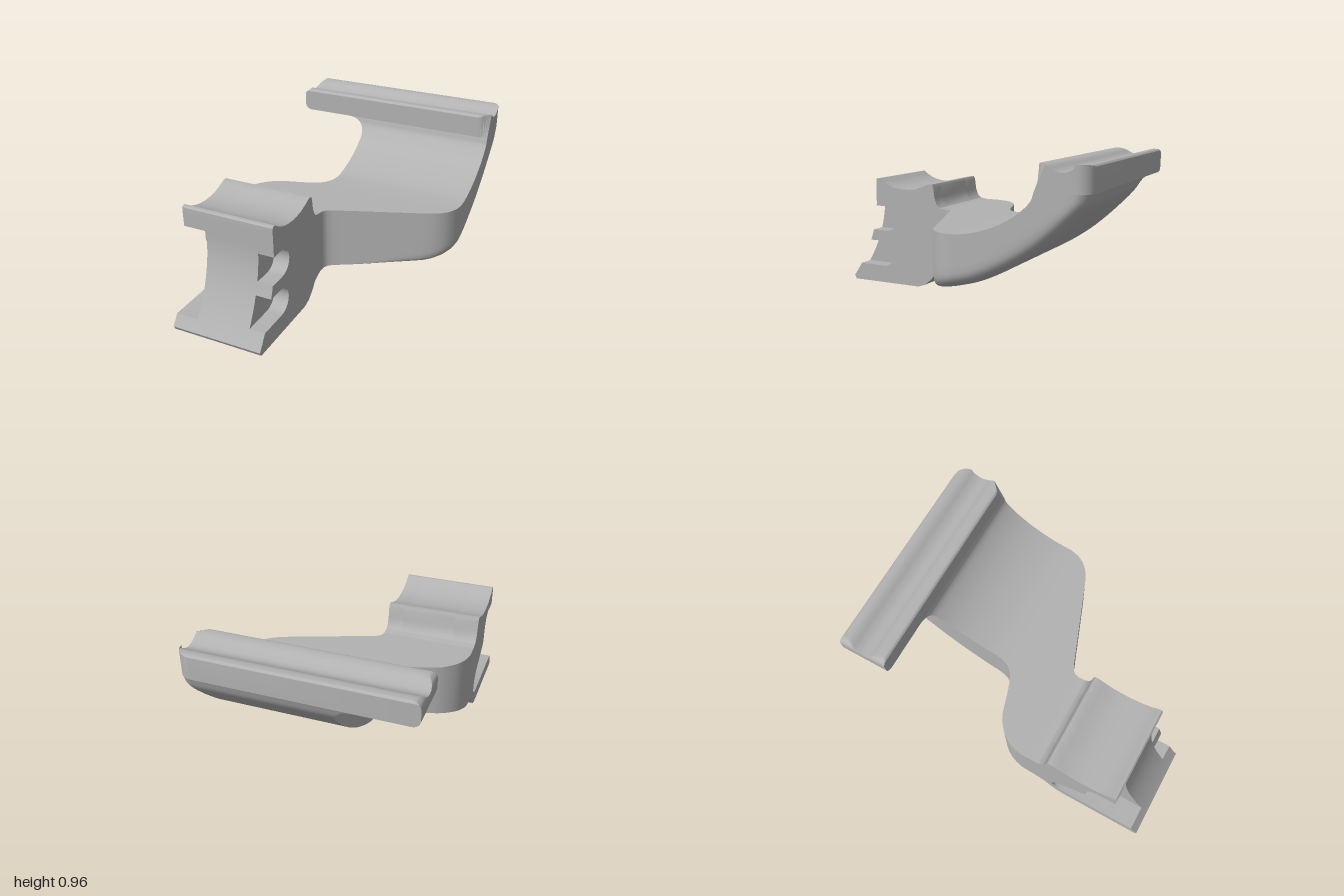
import * as THREE from 'three';
import { toCreasedNormals } from 'three/addons/utils/BufferGeometryUtils.js';

const gray = new THREE.MeshStandardMaterial({ color: 0xb2b2b2 });
gray.name = 'plain gray';

// Inset of a quarter-round edge of radius r at distance d from the face
const inset = (d, r) => (d < r ? r - Math.sqrt(Math.max(0, r * r - (r - d) ** 2)) : 0);

// Linear lookup in a list of [z, x] pairs with falling z
function lookup(list, z) {
  for (let i = 1; i < list.length; i++) {
    const [z0, x0] = list[i - 1], [z1, x1] = list[i];
    if (z >= z1) return x0 + (x1 - x0) * Math.min(1, Math.max(0, (z0 - z) / (z0 - z1)));
  }
  return list[list.length - 1][1];
}

const smooth = (list, n) =>
  new THREE.CatmullRomCurve3(list.map(([z, y]) => new THREE.Vector3(0, y, z)), false, 'centripetal').getPoints(n);

// Skin closed rings; point i of a ring faces point n-1-i, so the ends are capped in strips
function loft(rings) {
  const n = rings[0].length, last = (rings.length - 1) * n, index = [];
  for (let j = 0; j < rings.length - 1; j++) {
    for (let i = 0; i < n; i++) {
      const a = j * n + i, b = j * n + (i + 1) % n;
      index.push(a, a + n, b, b, a + n, b + n);
    }
  }
  for (let i = 0; i < n / 2 - 1; i++) {
    const a = i, b = i + 1, c = n - 2 - i, d = n - 1 - i;
    index.push(a, b, c, a, c, d);
    index.push(last + a, last + c, last + b, last + a, last + d, last + c);
  }
  const g = new THREE.BufferGeometry();
  g.setAttribute('position', new THREE.Float32BufferAttribute(rings.flat(2), 3));
  g.setIndex(index);
  return toCreasedNormals(g, 0.5);
}

// Front of the clamp curves forward towards its foot
const frontZ = (y) => (y < 0.58 ? 0.8 + 0.2 * ((0.58 - y) / 0.55) ** 2 : 0.8);

// Rest of the clamp outline as [z, y]: foot, back, neck and saddle
const clampBack = [
  [0.99, 0], [0.47, 0.003], [0.42, 0.02], [0.37, 0.06], [0.33, 0.11], [0.29, 0.128], [0.25, 0.14],
  [0.25, 0.55], [0.295, 0.557], [0.32, 0.58], [0.335, 0.62], [0.345, 0.69], [0.355, 0.71], [0.38, 0.71],
  [0.42, 0.693], [0.48, 0.672], [0.53, 0.665], [0.58, 0.663], [0.63, 0.667], [0.67, 0.675], [0.71, 0.689],
  [0.74, 0.705], [0.775, 0.73], [0.79, 0.729], [0.799, 0.72],
];

// One slice of the clamp between two x values, with cuts opening at the front
function clampSlice(lo, hi, cuts) {
  const pts = [];
  let y = 0.7;
  const runTo = (end) => {
    const steps = Math.max(1, Math.ceil((y - end) / 0.03)), start = y;
    for (let k = 0; k <= steps; k++) {
      const v = start + (end - start) * k / steps;
      pts.push([frontZ(v), v]);
    }
  };
  for (const cut of cuts) {
    runTo(cut.top);
    pts.push(...cut.inner);
    y = cut.bottom;
  }
  runTo(0.025);
  pts.push(...clampBack);
  const shape = new THREE.Shape(pts.map(([z, v]) => new THREE.Vector2(z, v)));
  const g = new THREE.ExtrudeGeometry(shape, { depth: hi - lo, bevelEnabled: false });
  g.rotateY(-Math.PI / 2).translate(hi, 0, 0);
  return toCreasedNormals(g, 0.5);
}

// Round-ended slot reaching back to a given z
function slot(bottom, top, back) {
  const r = (top - bottom) / 2, inner = [];
  for (let k = 0; k <= 14; k++) {
    const a = Math.PI / 2 + Math.PI * k / 14;
    inner.push([back + r + r * Math.cos(a), bottom + r + r * Math.sin(a)]);
  }
  return { top, bottom, inner };
}

// Deep S-shaped pocket on the right side of the clamp
function pocket() {
  const path = [[0.68, 0.6], [0.64, 0.565], [0.615, 0.48], [0.61, 0.4], [0.54, 0.34], [0.44, 0.28],
    [0.39, 0.2], [0.4, 0.125], [0.47, 0.09]];
  return { top: 0.6, bottom: 0.09, inner: smooth(path, 32).map((p) => [p.z, p.y]) };
}

// Offset arm: side curves give z and y, plan curves give the width
function armGeometry() {
  const steps = 96;
  const top = [[0.25, 0.55], [0.05, 0.55], [-0.18, 0.55], [-0.3, 0.56], [-0.43, 0.595], [-0.55, 0.65],
    [-0.64, 0.715], [-0.685, 0.765], [-0.7, 0.81]];
  const under = [[0.25, 0.14], [0.05, 0.19], [-0.2, 0.243], [-0.36, 0.29], [-0.55, 0.385], [-0.72, 0.5],
    [-0.88, 0.645], [-0.97, 0.745], [-1, 0.81]];
  const rightEdge = [[0.25, -0.67], [0.17, -0.67], [0.12, -0.66], [0.08, -0.645], [0.04, -0.62], [0.01, -0.59],
    [-0.02, -0.555], [-0.045, -0.51], [-0.06, -0.46], [-0.1, -0.33], [-0.13, -0.27], [-0.16, -0.235],
    [-0.2, -0.212], [-0.24, -0.203], [-0.28, -0.2], [-1, -0.2]];
  const leftEdge = [[0.25, -0.08], [0.22, -0.072], [0.2, -0.053], [0.188, -0.03], [0.175, 0.005], [-0.01, 0.49],
    [-0.035, 0.55], [-0.06, 0.59], [-0.1, 0.63], [-0.15, 0.657], [-0.21, 0.67], [-1, 0.67]];
  const curveT = new THREE.CatmullRomCurve3(top.map(([z, y]) => new THREE.Vector3(0, y, z)), false, 'centripetal');
  const curveB = new THREE.CatmullRomCurve3(under.map(([z, y]) => new THREE.Vector3(0, y, z)), false, 'centripetal');
  const levels = [0, 0.01, 0.03, 0.06, 0.1, 0.15, 0.2, 0.27, 0.4, 0.6, 0.8, 0.9, 1];
  const rings = [];
  for (let j = 0; j <= steps; j++) {
    const a = curveB.getPoint(j / steps), b = curveT.getPoint(j / steps), thick = a.distanceTo(b);
    const left = [], right = [];
    for (const s of levels) {
      const p = a.clone().lerp(b, s);
      // rounded lower outer edge, fading out towards the clamp
      const r = 0.085 * THREE.MathUtils.smoothstep(-p.z, -0.15, 0.12);
      left.push([lookup(leftEdge, p.z) - inset(s * thick, r), p.y, p.z]);
      // fillet running into the overhanging bar
      const lift = Math.max(0, p.y - 0.69);
      const fillet = 0.12 - Math.sqrt(Math.max(0, 0.0144 - lift * lift));
      right.push([lookup(rightEdge, p.z) - fillet, p.y, p.z]);
    }
    rings.push([...left, ...right.reverse()]);
  }
  return loft(rings);
}

// Grooved bar across the back, rounded at its ends
function barGeometry() {
  const crest = smooth([[-1, 0.945], [-0.99, 0.955], [-0.96, 0.956], [-0.93, 0.947], [-0.89, 0.924],
    [-0.85, 0.915], [-0.81, 0.924], [-0.775, 0.946], [-0.75, 0.954], [-0.71, 0.955], [-0.7, 0.945]], 40);
  const xs = [];
  for (let k = 0; k <= 8; k++) xs.push(-0.67 + 0.045 * (1 - Math.cos(Math.PI * k / 16)));
  xs.push(0.585);
  for (let k = 1; k <= 8; k++) xs.push(0.585 + 0.085 * Math.sin(Math.PI * k / 16));
  return loft(xs.map((x) => {
    const e = inset(x + 0.67, 0.045), back = -1 + inset(0.67 - x, 0.085);
    const place = (y, z) => {
      const v = Math.min(0.956 - e, Math.max(0.81 + e, y));
      const front = -0.7 - Math.max(0, x - 0.61) * (v - 0.81) / 0.145;
      return [x, v, Math.min(front, Math.max(back, z))];
    };
    return [...crest.map((p) => place(0.81, p.z)), ...crest.map((p) => place(p.y, p.z)).reverse()];
  }));
}

export function createModel() {
  const model = new THREE.Group();
  model.name = 'offset bracket';
  const add = (name, geometry, parent) => {
    const mesh = new THREE.Mesh(geometry, gray);
    mesh.name = name;
    parent.add(mesh);
  };
  const clamp = new THREE.Group();
  clamp.name = 'clamp';
  add('clampPocketSide', clampSlice(-0.67, -0.52, [pocket()]), clamp);
  add('clampCore', clampSlice(-0.52, -0.18, []), clamp);
  add('clampSlotSide', clampSlice(-0.18, -0.08, [slot(0.37, 0.54, 0.635), slot(0.12, 0.295, 0.66)]), clamp);
  model.add(clamp);
  add('arm', armGeometry(), model);
  add('bar', barGeometry(), model);
  return model;
}
